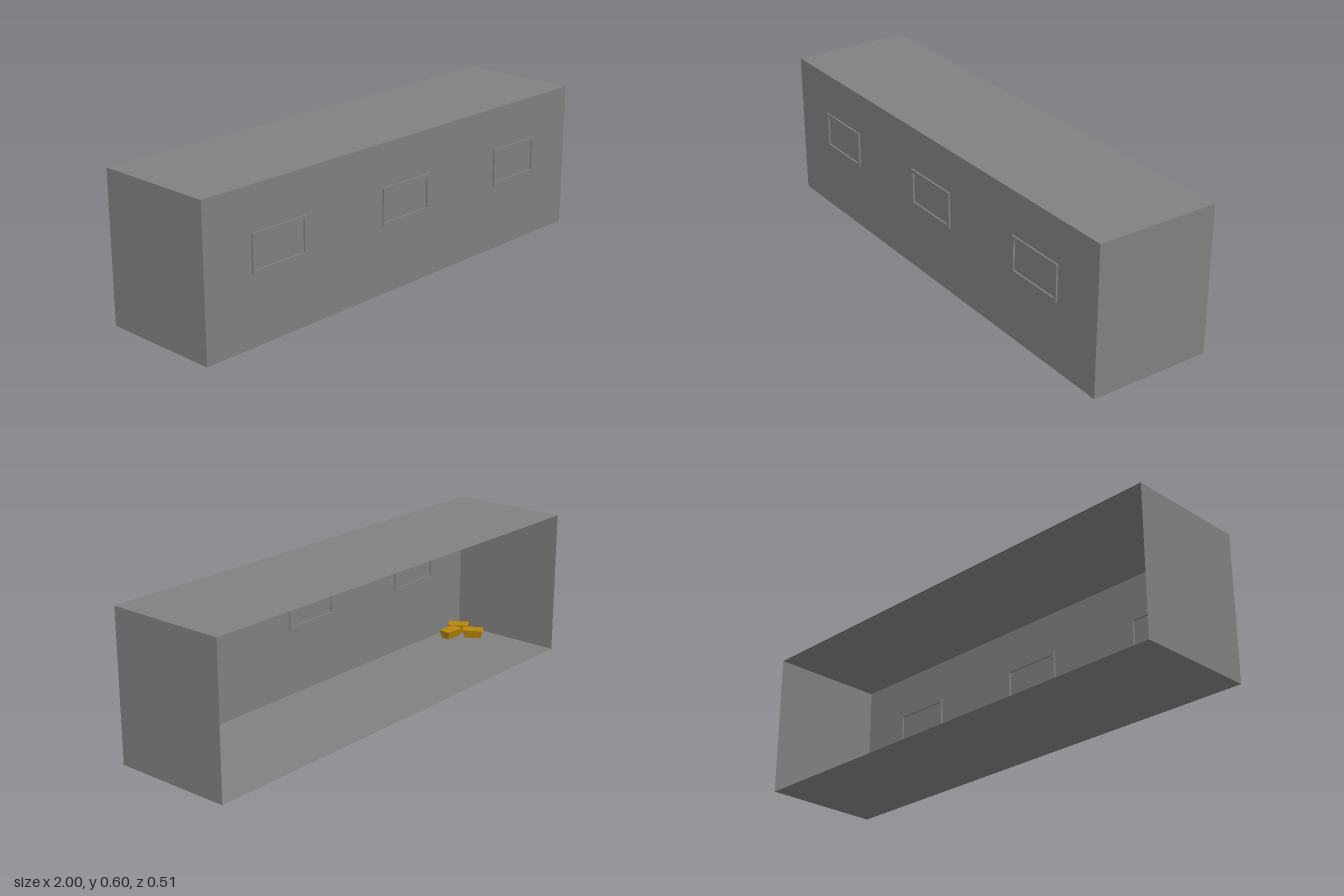
import * as THREE from 'three';

const concrete = new THREE.MeshStandardMaterial({ color: 0x808080, side: THREE.DoubleSide });
concrete.name = 'grey wall';
const gold = new THREE.MeshStandardMaterial({ color: 0xb8860b });
gold.name = 'gold';

const W = 2, H = 0.598, FRONT = 0.247, BACK = -0.252;
const D = FRONT - BACK, MID = (FRONT + BACK) / 2;

// Thin wall panel
function panel(name, w, h, pos, rot) {
  const mesh = new THREE.Mesh(new THREE.PlaneGeometry(w, h), concrete);
  mesh.name = name;
  mesh.position.set(...pos);
  mesh.rotation.set(...rot);
  return mesh;
}

// Rectangular window frame, standing out on both faces of the front wall
function windowFrame(x) {
  const w = 0.26, h = 0.15, t = 0.013, depth = 0.014;
  const rect = (P, a, b) => {
    const p = new P();
    p.moveTo(-a, -b).lineTo(a, -b).lineTo(a, b).lineTo(-a, b).closePath();
    return p;
  };
  const shape = rect(THREE.Shape, w / 2, h / 2);
  shape.holes.push(rect(THREE.Path, w / 2 - t, h / 2 - t));
  const geo = new THREE.ExtrudeGeometry(shape, { depth, bevelEnabled: false });
  const mesh = new THREE.Mesh(geo, concrete);
  mesh.name = 'windowFrame';
  mesh.position.set(x, 0.35, FRONT - depth / 2);
  return mesh;
}

// Ingot with a base smaller than its top
function ingotGeometry() {
  const h = 0.036;
  const geo = new THREE.BoxGeometry(0.09, h, 0.056);
  const p = geo.attributes.position;
  for (let i = 0; i < p.count; i++) {
    if (p.getY(i) < 0) p.setXYZ(i, p.getX(i) * 0.78, p.getY(i), p.getZ(i) * 0.65);
  }
  geo.translate(0, h / 2 + 0.001, 0);
  geo.computeVertexNormals();
  return geo;
}

export function createModel() {
  const model = new THREE.Group();
  model.name = 'vaultRoom';
  const q = Math.PI / 2;

  // Room shell, open at the back
  model.add(
    panel('frontWall', W, H, [0, H / 2, FRONT], [0, 0, 0]),
    panel('floor', W, D, [0, 0, MID], [-q, 0, 0]),
    panel('roof', W, D, [0, H, MID], [-q, 0, 0]),
    panel('leftWall', D, H, [1, H / 2, MID], [0, q, 0]),
    panel('rightWall', D, H, [-1, H / 2, MID], [0, -q, 0])
  );

  // Row of three windows
  for (const x of [-0.655, 0, 0.655]) model.add(windowFrame(x));

  // Mirrored piles of ingots in the two front corners: x, z, turn
  const geo = ingotGeometry();
  for (const side of [1, -1]) {
    const pile = new THREE.Group();
    pile.name = side > 0 ? 'leftGoldPile' : 'rightGoldPile';
    for (const [x, z, turn] of [[0.905, 0.1, 1.05], [0.84, 0.175, 0.1], [0.925, 0.195, 1.05]]) {
      const ingot = new THREE.Mesh(geo, gold);
      ingot.name = 'goldIngot';
      ingot.position.set(side * x, 0, z);
      ingot.rotation.y = side * turn;
      pile.add(ingot);
    }
    model.add(pile);
  }
  return model;
}
